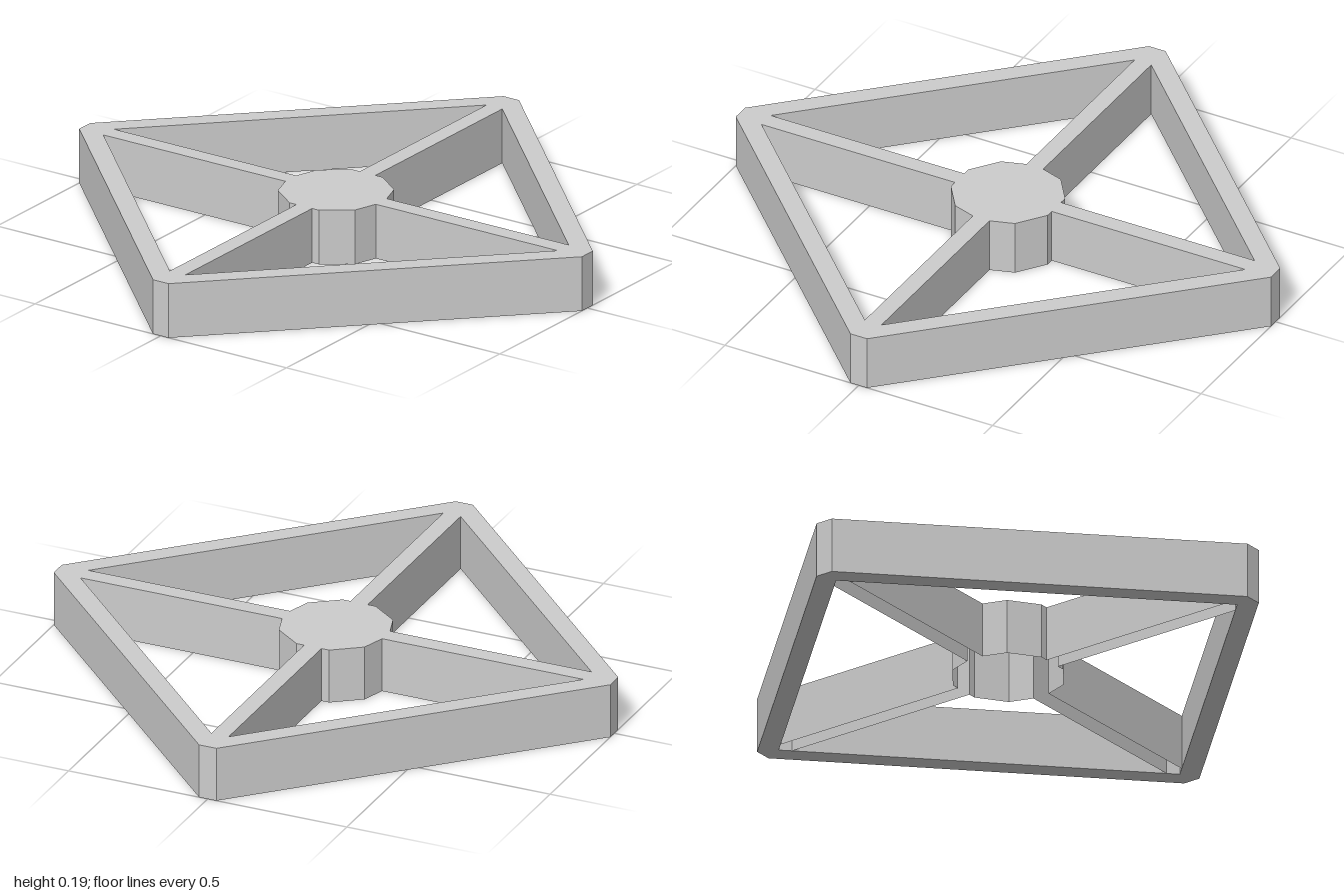
import * as THREE from 'three';

const H = 0.19;      // overall height
const W = 0.031;     // half width of a spoke
const INNER = 0.935; // tip of the frame's inner opening
const HUB = 0.19;    // hub corner radius

const material = new THREE.MeshStandardMaterial({ color: 0xcccccc, flatShading: true, side: THREE.DoubleSide });

function part(name, geometry) {
  const mesh = new THREE.Mesh(geometry, material);
  mesh.name = name;
  return mesh;
}

const toPoints = list => list.map(([x, z]) => new THREE.Vector2(x, z));

// Flat panel lying at the top, from [x, z] corners
function panel(corners) {
  const g = new THREE.ShapeGeometry(new THREE.Shape(toPoints(corners.map(([x, z]) => [x, -z]))));
  return g.rotateX(-Math.PI / 2).translate(0, H, 0);
}

// Upright wall following a path of [x, z] points
function wall(path) {
  const positions = [];
  for (let i = 0; i + 1 < path.length; i++) {
    const [ax, az] = path[i], [bx, bz] = path[i + 1];
    positions.push(ax, 0, az, ax, H, az, bx, H, bz, ax, 0, az, bx, H, bz, bx, 0, bz);
  }
  const g = new THREE.BufferGeometry();
  g.setAttribute('position', new THREE.Float32BufferAttribute(positions, 3));
  g.computeVertexNormals();
  return g;
}

export function createModel() {
  const model = new THREE.Group();
  model.name = 'squareSpokedFrame';

  // Solid diamond frame with blunted corners
  const outline = new THREE.Shape(toPoints([
    [1, -W], [1, W], [W, 1], [-W, 1], [-1, W], [-1, -W], [-W, -1], [W, -1],
  ]));
  outline.holes.push(new THREE.Path(toPoints([[INNER, 0], [0, -INNER], [-INNER, 0], [0, INNER]])));
  const frame = new THREE.ExtrudeGeometry(outline, { depth: H, bevelEnabled: false });
  model.add(part('frame', frame.rotateX(-Math.PI / 2)));

  // Ten-sided hub, open underneath and where each spoke enters
  const at = deg => [HUB * Math.cos(deg * Math.PI / 180), HUB * Math.sin(deg * Math.PI / 180)];
  const [p1, p2] = [at(36), at(72)];
  const sideX = HUB + (p1[0] - HUB) * W / p1[1];
  const quarter = [[sideX, W], p1, p2, [W, p2[1]]];
  const hub = new THREE.Group();
  hub.name = 'hub';
  const rim = [];
  for (const [sx, sz] of [[1, 1], [-1, 1], [-1, -1], [1, -1]]) {
    const path = quarter.map(([x, z]) => [x * sx, z * sz]);
    if (sx * sz < 0) path.reverse();
    rim.push(...path);
    hub.add(part('hubWall', wall(path.slice().reverse())));
  }
  hub.add(part('hubTop', panel(rim.reverse())));
  model.add(hub);

  // Four channel spokes, open underneath
  for (let i = 0; i < 4; i++) {
    const start = i % 2 ? p2[1] : sideX;
    const end = INNER - W;
    const spoke = new THREE.Group();
    spoke.name = 'spoke';
    spoke.add(part('spokeTop', panel([[start, W], [end, W], [INNER, 0], [end, -W], [start, -W]])));
    spoke.add(part('spokeSide', wall([[end, W], [start, W]].reverse())));
    spoke.add(part('spokeSide', wall([[end, -W], [start, -W]])));
    spoke.rotation.y = i * Math.PI / 2;
    model.add(spoke);
  }
  // Wall winding: corners run so that normals point outwards
  model.traverse(o => {
    if (o.name !== 'hubWall' && o.name !== 'spokeSide') return;
    const n = o.geometry.attributes.normal, p = o.geometry.attributes.position;
    const outward = n.getX(0) * p.getX(0) * (o.name === 'hubWall') + n.getZ(0) * p.getZ(0);
    if (outward < 0) {
      for (let i = 0; i < p.count; i += 3) {
        const a = new THREE.Vector3().fromBufferAttribute(p, i);
        const b = new THREE.Vector3().fromBufferAttribute(p, i + 1);
        p.setXYZ(i, b.x, b.y, b.z);
        p.setXYZ(i + 1, a.x, a.y, a.z);
      }
      o.geometry.computeVertexNormals();
    }
  });
  return model;
}
